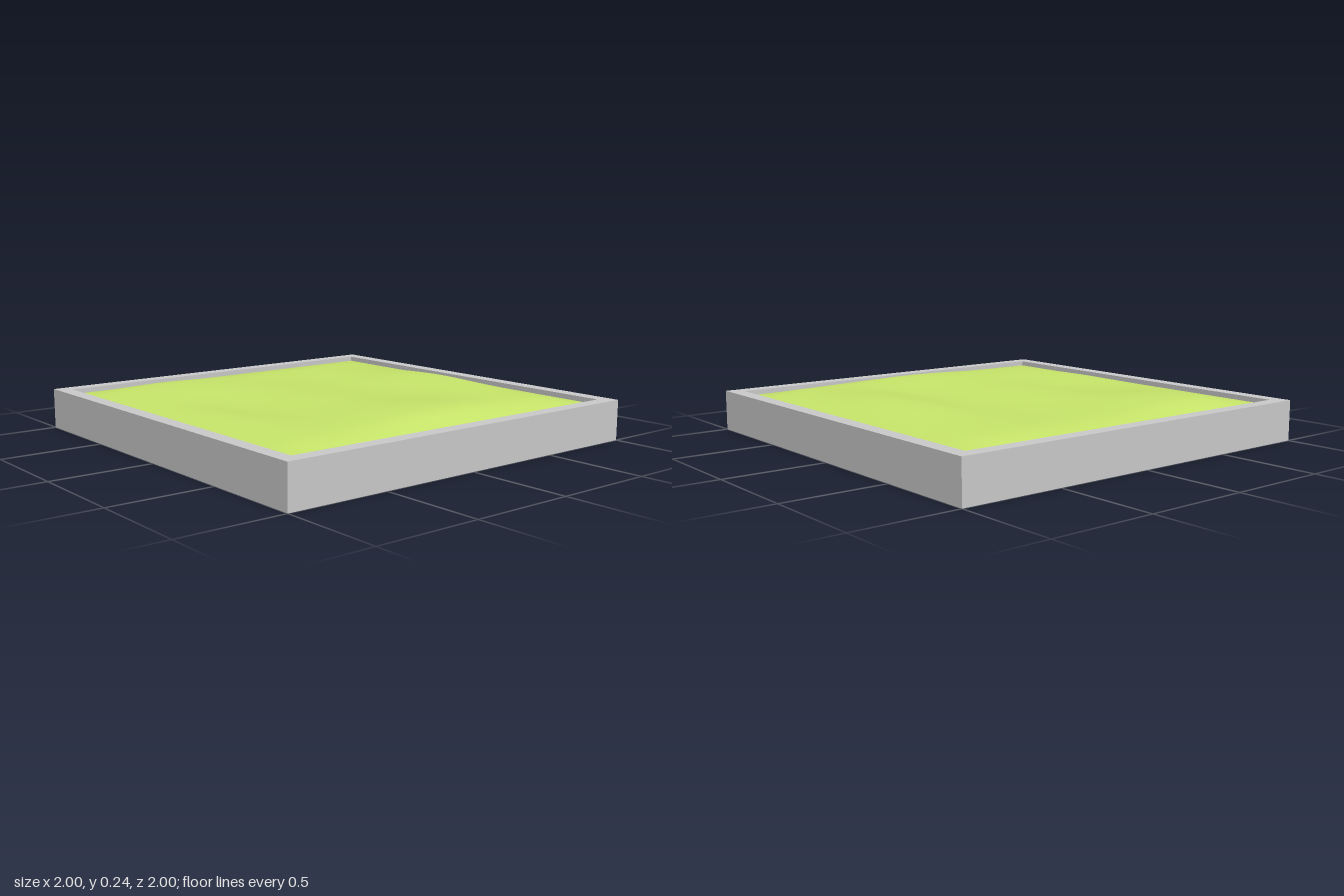
import * as THREE from 'three';

const INNER = 0.93; // half-width of the planted area
const RIM = 0.2;    // height of the frame

// Gentle mounds and hollows: [x, z, height, spread x, spread z]
const MOUNDS = [
  [0.05, -0.62, 0.037, 0.3, 0.16],
  [-0.58, 0.5, 0.02, 0.22, 0.2],
  [0.65, -0.1, 0.023, 0.2, 0.35],
  [0.1, 0.12, 0.014, 0.35, 0.18],
  [0.2, 0.76, 0.012, 0.25, 0.12],
  [-0.1, -0.28, -0.008, 0.35, 0.14],
  [0.0, 0.5, -0.01, 0.25, 0.14],
];

const square = (half, PathType) => new PathType().setFromPoints(
  [[-1, -1], [1, -1], [1, 1], [-1, 1]].map(([x, y]) => new THREE.Vector2(x * half, y * half))
).closePath();

// Rises softly from 0 at the frame to 1 a short way in
const taper = (v) => Math.sin(Math.min(1, Math.max(0, (INNER - Math.abs(v)) / 0.25)) * Math.PI / 2);

function groundHeight(x, z) {
  let h = 0.03;
  for (const [cx, cz, height, sx, sz] of MOUNDS) {
    h += height * Math.exp(-(((x - cx) / sx) ** 2 + ((z - cz) / sz) ** 2) / 2);
  }
  return 0.175 + h * taper(x) * taper(z);
}

export function createModel() {
  const model = new THREE.Group();
  model.name = 'grassPlot';
  const add = (name, geometry, color, options = {}) => {
    const mesh = new THREE.Mesh(geometry, new THREE.MeshStandardMaterial({ color, ...options }));
    mesh.name = name;
    model.add(mesh);
    return mesh;
  };

  // Square frame with an open middle
  const outline = square(1, THREE.Shape);
  outline.holes.push(square(INNER, THREE.Path));
  const frame = new THREE.ExtrudeGeometry(outline, { depth: RIM, bevelEnabled: false });
  frame.rotateX(-Math.PI / 2);
  add('frame', frame, 0xcccccc);

  // Floor closing the underside
  const floor = new THREE.BoxGeometry(INNER * 2, 0.14, INNER * 2);
  add('floor', floor, 0xcccccc).position.y = 0.07;

  // Rolling grass surface
  const grass = new THREE.PlaneGeometry(INNER * 2, INNER * 2, 48, 48);
  grass.rotateX(-Math.PI / 2);
  const p = grass.attributes.position;
  for (let i = 0; i < p.count; i++) p.setY(i, groundHeight(p.getX(i), p.getZ(i)));
  grass.computeVertexNormals();
  add('grass', grass, 0xc8e66a, { side: THREE.DoubleSide });

  return model;
}
